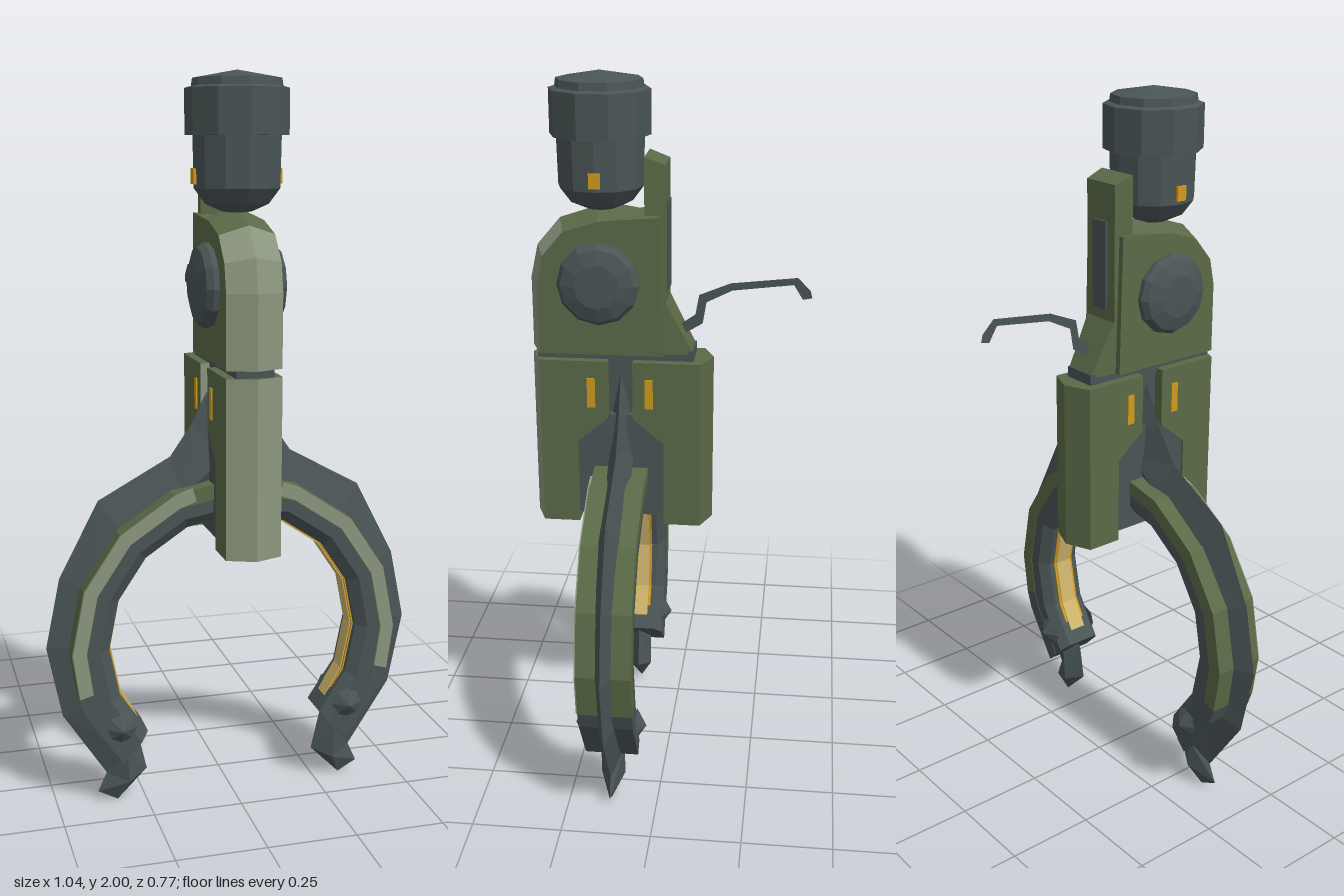
import * as THREE from 'three';

const mat = (name, color, extra = {}) =>
  Object.assign(new THREE.MeshStandardMaterial({ color, flatShading: true, ...extra }), { name });
const CZ = 0.13; // depth of the claw plane

// Skin a row of closed rings, cap both ends, and face it outward.
function loft(rings) {
  const tris = [], n = rings[0].length;
  for (let i = 0; i + 1 < rings.length; i++) {
    for (let j = 0; j < n; j++) {
      const k = (j + 1) % n, a = rings[i], b = rings[i + 1];
      tris.push([a[j], a[k], b[k]], [a[j], b[k], b[j]]);
    }
  }
  const first = rings[0], last = rings[rings.length - 1];
  for (let j = 1; j + 1 < n; j++) {
    tris.push([first[0], first[j + 1], first[j]], [last[0], last[j], last[j + 1]]);
  }
  let volume = 0;
  const o = new THREE.Vector3(...first[0]);
  for (const t of tris) {
    const [a, b, c] = t.map((p) => new THREE.Vector3(...p).sub(o));
    volume += a.dot(b.cross(c));
  }
  return volume < 0 ? tris.map(([a, b, c]) => [a, c, b]) : tris;
}

function toGeometry(tris) {
  const g = new THREE.BufferGeometry();
  g.setAttribute('position', new THREE.Float32BufferAttribute(tris.flat(2), 3));
  g.computeVertexNormals();
  return g;
}

const facesFront = (t) => {
  const n = new THREE.Vector3();
  new THREE.Triangle(...t.map((p) => new THREE.Vector3(...p))).getNormal(n);
  return n.z > 0.45;
};

// Sweep a [radius, depth] section round the claw arc; angles in degrees.
function arcSweep(section, from, to, side) {
  const angles = [from];
  for (let a = -45; a <= 90; a += 22.5) if (a > from && a < to) angles.push(a);
  angles.push(to);
  return toGeometry(loft(angles.map((a) => {
    const t = THREE.MathUtils.degToRad(a);
    return section.map(([r, z]) => [side * r * Math.cos(t), 0.475 + r * Math.sin(t), CZ + z]);
  })));
}
const rect = (r0, r1, z0, z1) => [[r0, z0], [r1, z0], [r1, z1], [r0, z1]];

export function createModel() {
  const model = new THREE.Group();
  const dark = mat('gunmetal', 0x4a5556, { side: THREE.DoubleSide });
  const green = mat('olive green', 0x5a6a47);
  const sage = mat('pale sage', 0x8b967e);
  const amber = mat('amber', 0xd09a1c);
  const pale = mat('pale gold', 0xcdb36c);
  const add = (name, geo, material, parent = model) => {
    const m = new THREE.Mesh(geo, material);
    m.name = name;
    parent.add(m);
    return m;
  };
  const box = (name, w, h, d, x, y, z, material) =>
    add(name, new THREE.BoxGeometry(w, h, d), material).position.set(x, y, z);
  const lathe = (pts, sides) =>
    new THREE.LatheGeometry(pts.map(([r, y]) => new THREE.Vector2(r, y)), sides);
  // Green solid whose front faces are sage
  const twoTone = (name, rings) => {
    const tris = loft(rings);
    add(name, toGeometry(tris.filter((t) => !facesFront(t))), green);
    add(name + 'Front', toGeometry(tris.filter(facesFront)), sage);
  };

  // Knob: bulb and cap
  add('knobBulb', lathe([[0, 1.64], [0.04, 1.645], [0.085, 1.665], [0.115, 1.705], [0.118, 1.85]], 12), dark)
    .position.z = 0.183;
  add('knobCap', lathe([[0.115, 1.838], [0.135, 1.838], [0.135, 1.955], [0.118, 1.96], [0.115, 1.98], [0, 2]], 10), dark)
    .position.z = 0.183;
  for (const s of [-1, 1]) box('knobLight', 0.008, 0.04, 0.03, s * 0.115, 1.735, 0.183, amber);

  // Upper housing, ridged along its front
  const profile = [[0.01, 1.255], [0.38, 1.255], [0.38, 1.45], [0.36, 1.54], [0.296, 1.615],
    [0.19, 1.65], [0.14, 1.655], [0.02, 1.635]];
  twoTone('upperHousing', [-0.075, 0, 0.075].map((x) => profile.map(([z, y]) => {
    if (x === 0 || z < 0.1) return [x, y, z];
    const d = Math.hypot(z - 0.15, y - 1.42);
    return y < 1.46 ? [x, y, z - 0.03]
      : [x, y - (y - 1.42) / d * 0.03, z - (z - 0.15) / d * 0.03];
  })));

  // Rear fin with dark panel
  const fin = [[0.005, 1.4], [-0.07, 1.255], [0.06, 1.255], [0.06, 1.79], [0.005, 1.77]];
  add('rearFin', toGeometry(loft([-1, 1].map((s) =>
    fin.map(([z, y]) => [s * (0.048 + (z + 0.07) * 0.13), y, z])))), green);
  box('finPanel', 0.055, 0.24, 0.008, 0, 1.55, 0.003, dark);

  // Side pivot discs
  for (const s of [-1, 1]) {
    const disc = add('pivotDisc', lathe([[0.11, 0.06], [0.112, 0.09], [0.1, 0.107], [0.06, 0.12], [0, 0.122]], 12), dark);
    disc.rotation.z = -s * Math.PI / 2;
    disc.position.set(0, 1.455, 0.183);
  }

  // Flat trigger lever
  const lever = [[-0.04, 1.3], [-0.09, 1.33], [-0.1, 1.39], [-0.17, 1.425], [-0.335, 1.445], [-0.36, 1.405],
    [-0.385, 1.41], [-0.38, 1.43], [-0.345, 1.465], [-0.165, 1.445], [-0.08, 1.41], [-0.07, 1.355], [-0.02, 1.32]];
  add('lever', new THREE.ShapeGeometry(new THREE.Shape(lever.map((p) => new THREE.Vector2(...p))))
    .rotateY(-Math.PI / 2), dark);

  // Neck, core and bracket that carry the claws
  box('neck', 0.1, 0.04, 0.43, 0, 1.245, 0.145, dark);
  box('core', 0.09, 0.43, 0.12, 0, 1.02, CZ, dark);
  const bracket = [[0.25, 0.78], [0.25, 1], [0.16, 1.08], [0.1, 1.08], [0.01, 1], [0.01, 0.78]];
  add('bracket', toGeometry(loft([-0.068, 0.068].map((x) => bracket.map(([z, y]) => [x, y, z])))), dark);

  // Front and rear grip blocks, each with a ridged outer face and a stepped inner side
  for (const s of [1, -1]) {
    const z = (d) => CZ + s * d;
    const ring = (y, inner) => [[-0.075, y, z(inner)], [-0.075, y, z(0.222)], [0, y, z(0.252)],
      [0.075, y, z(0.222)], [0.075, y, z(inner)]];
    twoTone(s > 0 ? 'frontGrip' : 'rearGrip',
      [ring(0.755, 0.12), ring(1, 0.12), ring(1.07, 0.035), ring(1.235, 0.035)]);
    for (const side of [-1, 1]) box('gripLight', 0.008, 0.085, 0.022, side * 0.075, 1.145, z(0.08), amber);
  }

  // Blade stations: outer point, inner point
  const blade = [[0.02, 1.235, 0, 1.15], [0.075, 1.15, 0, 1.0], [0.105, 1.085, 0, 0.9], [0.17, 0.99, 0.12, 0.82],
    [0.37, 0.88, 0.26, 0.735], [0.48, 0.67, 0.34, 0.62], [0.52, 0.475, 0.365, 0.475], [0.48, 0.275, 0.34, 0.33],
    [0.36, 0.09, 0.27, 0.2], [0.385, 0.035, 0.245, 0.09], [0.33, 0.005, 0.325, 0.01]];

  // The two claws
  for (const s of [-1, 1]) {
    const claw = new THREE.Group();
    claw.name = s > 0 ? 'leftClaw' : 'rightClaw';
    model.add(claw);
    add('clawBlade', toGeometry(loft(blade.map(([ox, oy, ix, iy], i) => {
      const hw = i === blade.length - 1 ? 0.002 : i === 0 ? 0.012 : 0.034;
      const mx = ox * 0.4 + ix * 0.6, my = oy * 0.4 + iy * 0.6;
      return [[s * ox, oy, CZ], [s * mx, my, CZ + hw], [s * ix, iy, CZ], [s * mx, my, CZ - hw]];
    }))), dark, claw);
    add('clawInner', arcSweep([[0.355, -0.05], [0.385, -0.073], [0.43, -0.073], [0.43, 0.073],
      [0.385, 0.073], [0.355, 0.05]], -45, 90, s), dark, claw);
    add('clawEnd', arcSweep(rect(0.42, 0.462, -0.075, 0.075), -45, -16, s), dark, claw);
    add('clawBand', arcSweep(rect(0.42, 0.462, -0.075, 0.075), -16, 90, s), green, claw);
    add('clawFrontStripe', arcSweep(rect(0.422, 0.46, 0.073, 0.079), -16, 74, s), sage, claw);
    // Lit strip on the inside of the claw
    add('stripEdge', arcSweep(rect(0.351, 0.358, -0.034, 0.034), -38, 78, s), amber, claw);
    add('strip', arcSweep(rect(0.348, 0.356, -0.026, 0.026), -38, 78, s), pale, claw);
    // Pointed bolts on both faces
    for (const f of [-1, 1]) {
      const bolt = add('bolt', new THREE.ConeGeometry(0.046, 0.03, 8), dark, claw);
      bolt.rotation.x = f * Math.PI / 2;
      bolt.position.set(s * 0.33, 0.25, CZ + f * 0.085);
    }
  }
  return model;
}
